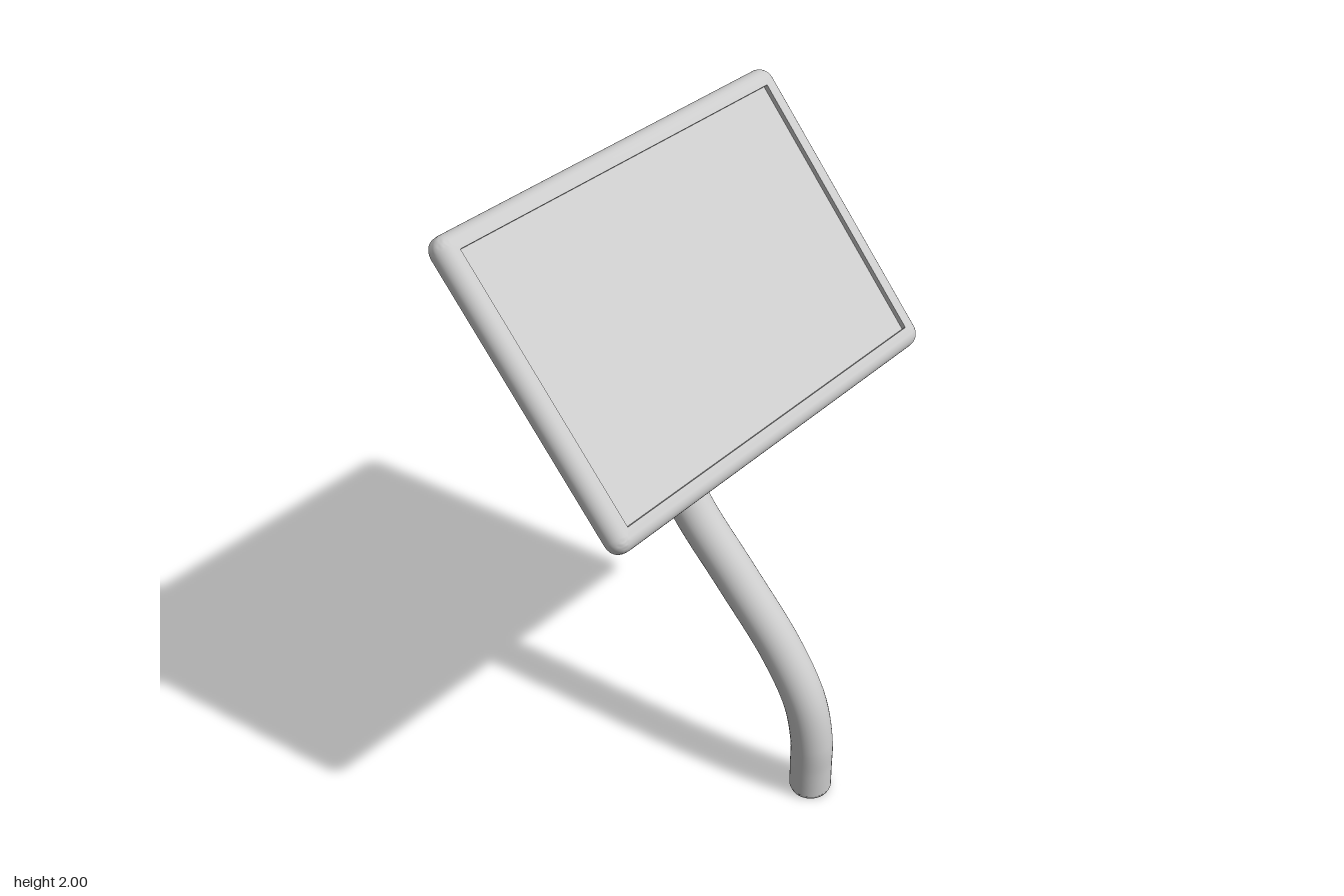
import * as THREE from 'three';
import { toCreasedNormals } from 'three/addons/utils/BufferGeometryUtils.js';

const material = new THREE.MeshStandardMaterial({ color: 0xcccccc });
const openMaterial = new THREE.MeshStandardMaterial({ color: 0xcccccc, side: THREE.DoubleSide });

const WIDTH = 1.36, HEIGHT = 0.94, DEPTH = 0.053, BORDER = 0.058, RECESS = 0.015;
const TUBE_R = 0.066;

function addMesh(parent, name, geometry, mat = material) {
  const mesh = new THREE.Mesh(geometry, mat);
  mesh.name = name;
  parent.add(mesh);
  return mesh;
}

// Corner-rounded rectangle, counter-clockwise seen from the front
function rectLoop(inset, z, cornerRadius = 0.045, steps = 6) {
  const r = Math.max(cornerRadius - inset, 0.002);
  const cx = WIDTH / 2 - inset - r, cy = HEIGHT / 2 - inset - r;
  const loop = [];
  [[1, 1], [-1, 1], [-1, -1], [1, -1]].forEach(([sx, sy], q) => {
    for (let i = 0; i <= steps; i++) {
      const a = (q + i / steps) * Math.PI / 2;
      loop.push([sx * cx + r * Math.cos(a), sy * cy + r * Math.sin(a), z]);
    }
  });
  return loop;
}

// Frame: flat back, rounded front rim and the walls of the screen recess
function frameGeometry() {
  const round = 0.04;
  const loops = [rectLoop(0, -DEPTH)];
  for (let i = 0; i <= 8; i++) {
    const a = i / 8 * Math.PI / 2;
    loops.push(rectLoop(round * (1 - Math.cos(a)), round * (Math.sin(a) - 1)));
  }
  loops.push(rectLoop(BORDER, 0), rectLoop(BORDER, -RECESS));
  const n = loops[0].length;
  const positions = loops.flat(2);
  const index = [];
  for (let i = 0; i < loops.length - 1; i++) {
    for (let j = 0; j < n; j++) {
      const k = (j + 1) % n;
      const a = i * n + j, b = i * n + k, c = b + n, d = a + n;
      index.push(a, b, c, a, c, d);
    }
  }
  for (let j = 1; j < n - 1; j++) index.push(0, j + 1, j); // back face
  const geometry = new THREE.BufferGeometry();
  geometry.setAttribute('position', new THREE.Float32BufferAttribute(positions, 3));
  geometry.setIndex(index);
  return toCreasedNormals(geometry, 0.6);
}

// Path in the side plane from [z, y] pairs
const sidePath = (points) =>
  new THREE.CatmullRomCurve3(points.map(([z, y]) => new THREE.Vector3(0, y, z)), false, 'centripetal');

const lathe = (profile) =>
  toCreasedNormals(new THREE.LatheGeometry(profile.map(([r, y]) => new THREE.Vector2(r, y)), 40), 0.5);

export function createModel() {
  const model = new THREE.Group();
  model.name = 'displayOnCurvedStand';

  // Tilted display
  const display = new THREE.Group();
  display.name = 'display';
  display.position.set(0, 1.658, -0.078);
  display.rotation.x = -0.714;
  model.add(display);
  addMesh(display, 'frame', frameGeometry());
  const screen = addMesh(display, 'screen',
    new THREE.PlaneGeometry(WIDTH - 2 * BORDER, HEIGHT - 2 * BORDER));
  screen.position.z = -RECESS;

  // Round mounting plate on the back
  const plate = addMesh(display, 'mountingPlate', new THREE.CylinderGeometry(0.146, 0.146, 0.058, 48));
  plate.rotation.x = Math.PI / 2;
  plate.position.set(0, -0.102, -DEPTH - 0.029);

  // S-shaped stand tube, open at the foot
  const stand = sidePath([
    [0.356, 0.012], [0.356, 0.1], [0.355, 0.2], [0.322, 0.35], [0.225, 0.51], [0.05, 0.7],
    [-0.12, 0.88], [-0.22, 1.04], [-0.254, 1.19], [-0.238, 1.315],
  ]);
  addMesh(model, 'standTube', new THREE.TubeGeometry(stand, 96, TUBE_R, 32), openMaterial);

  // Chamfered lip at the foot
  const lip = addMesh(model, 'footLip',
    lathe([[0.056, 0.012], [0.058, 0], [0.061, 0], [TUBE_R, 0.012]]), openMaterial);
  lip.position.z = 0.356;

  // Grooved swivel between the stand and the neck
  const swivel = addMesh(model, 'swivelJoint', lathe([
    [0, -0.004], [TUBE_R, -0.004], [0.064, 0.006], [0.055, 0.012], [0.053, 0.022],
    [0.055, 0.032], [0.061, 0.038], [0.063, 0.046], [0, 0.046],
  ]), openMaterial);
  swivel.position.set(0, 1.315, -0.238);
  swivel.rotation.x = 0.45;

  // Bent neck running into the mounting plate
  const neck = sidePath([[-0.217, 1.353], [-0.194, 1.398], [-0.148, 1.455], [-0.09, 1.507], [-0.075, 1.52]]);
  addMesh(model, 'neck', new THREE.TubeGeometry(neck, 32, 0.062, 32), openMaterial);

  return model;
}
